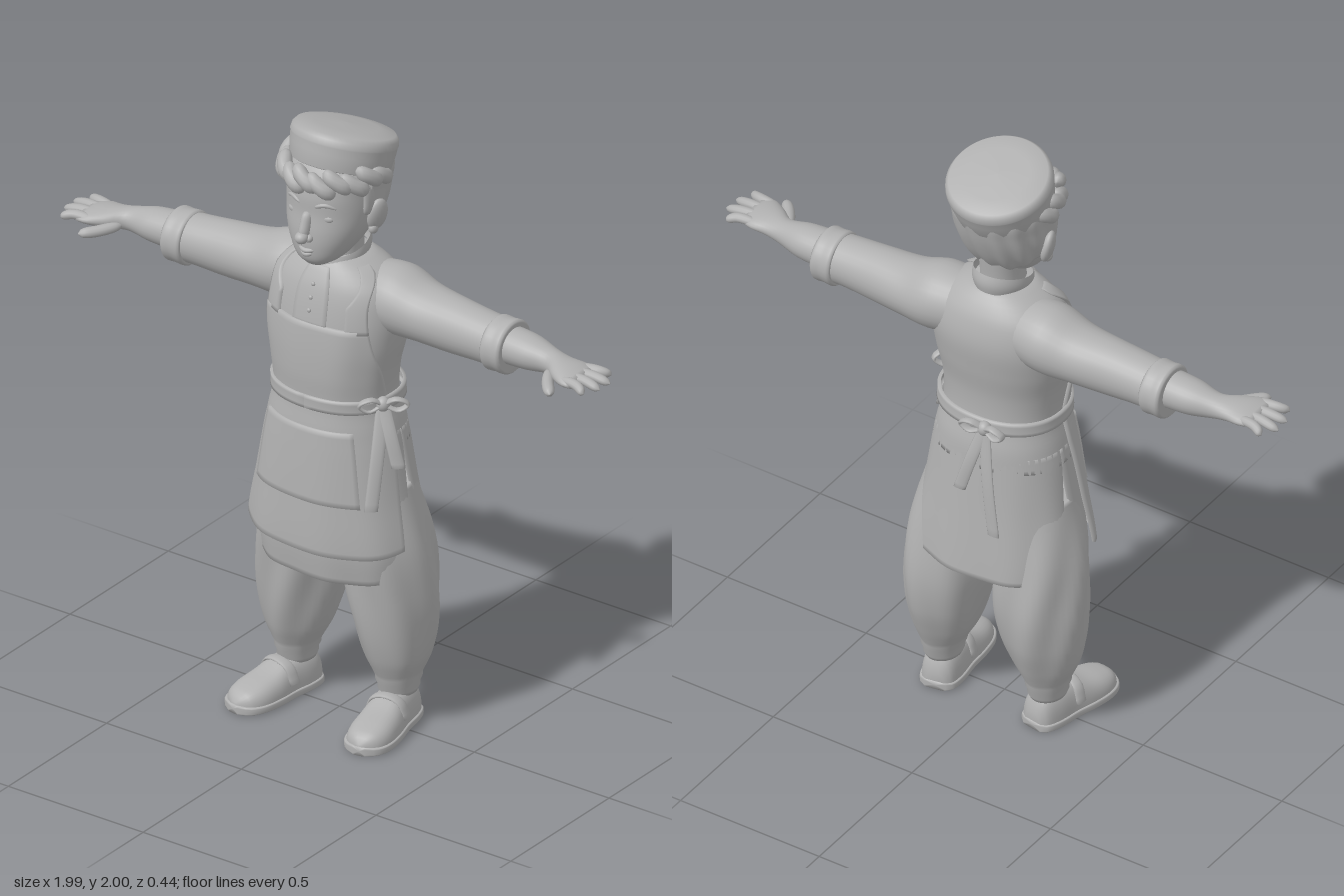
import * as THREE from 'three';

const clay = new THREE.MeshStandardMaterial({ color: 0xb0b0b0, side: THREE.DoubleSide });
clay.name = 'plainGrey';
const RAD = Math.PI / 180;
const V = (x, y, z) => new THREE.Vector3(x, y, z);
const spow = (t, p) => Math.sign(t) * Math.abs(t) ** p;

// Smooth lookup in a table of [key, values...] rows sorted by rising key
function at(rows, k) {
  let i = 0;
  while (i < rows.length - 2 && k > rows[i + 1][0]) i++;
  const a = rows[i], b = rows[i + 1], h = b[0] - a[0];
  const t = THREE.MathUtils.clamp((k - a[0]) / h, 0, 1);
  const p = rows[Math.max(i - 1, 0)], n = rows[Math.min(i + 2, rows.length - 1)];
  return a.slice(1).map((va, j) => {
    const c = j + 1, m0 = (b[c] - p[c]) / (b[0] - p[0]) * h, m1 = (n[c] - a[c]) / (n[0] - a[0]) * h;
    const t2 = t * t, t3 = t2 * t;
    return (2 * t3 - 3 * t2 + 1) * va + (t3 - 2 * t2 + t) * m0 + (3 * t2 - 2 * t3) * b[c] + (t3 - t2) * m1;
  });
}

// Grid surface from fn(u, v); closed wraps v and caps both ends
function surface(fn, nu, nv, closed) {
  const pos = [], idx = [], cols = closed ? nv : nv + 1, rings = [];
  for (let i = 0; i <= nu; i++) {
    const ring = [];
    for (let j = 0; j < cols; j++) ring.push(fn(i / nu, j / nv));
    rings.push(ring);
  }
  if (closed) {
    const cap = ring => {
      const c = V(0, 0, 0);
      ring.forEach(q => c.addScaledVector(q, 1 / ring.length));
      return ring.map(() => c);
    };
    rings.unshift(cap(rings[0]));
    rings.push(cap(rings[nu + 1]));
  }
  rings.flat().forEach(q => pos.push(q.x, q.y, q.z));
  for (let i = 0; i < rings.length - 1; i++) for (let j = 0; j < nv; j++) {
    const k = (j + 1) % cols, a = i * cols + j, d = i * cols + k, b = a + cols, c = d + cols;
    idx.push(a, b, d, b, c, d);
  }
  const g = new THREE.BufferGeometry();
  g.setAttribute('position', new THREE.Float32BufferAttribute(pos, 3));
  g.setIndex(idx);
  g.computeVertexNormals();
  return g;
}

function add(parent, name, geo) {
  const m = new THREE.Mesh(geo, clay);
  m.name = name;
  parent.add(m);
  return m;
}

// Point on a body table [y, halfWidth, zFront, zBack]; angle 0 is the front
function ring(rows, y, a, off = 0) {
  const [w, f, b] = at(rows, y);
  return V((w + off) * spow(Math.sin(a), 0.9), y, (f + b) / 2 + ((f - b) / 2 + off) * spow(Math.cos(a), 0.9));
}
const stack = (rows, nu = 40, nv = 48) => surface((u, v) =>
  ring(rows, THREE.MathUtils.lerp(rows[rows.length - 1][0], rows[0][0], u), v * 2 * Math.PI), nu, nv, true);

// Cloth lying on a body table, with its rim turned in to meet the body
function cloth(rows, top, bottom, edge, off, nu = 30, nv = 40) {
  return surface((u, v) => {
    const rim = u === 0 || u === 1 || v === 0 || v === 1;
    const vv = THREE.MathUtils.clamp((v - 1 / nv) / (1 - 2 / nv), 0, 1);
    const uu = THREE.MathUtils.clamp((u - 1 / nu) / (1 - 2 / nu), 0, 1);
    const y = THREE.MathUtils.lerp(top, typeof bottom === 'number' ? bottom : bottom(vv), uu);
    const [a0, a1] = edge(y), a = THREE.MathUtils.lerp(a0, a1, vv) * RAD;
    const o = off(y, a);
    return ring(rows, y, a, rim ? o - 0.01 : o);
  }, nu, nv, false);
}

// Limb along x from [x, y, z, ry, rz]
const limb = (rows, nu = 24) => surface((u, v) => {
  const x = THREE.MathUtils.lerp(rows[0][0], rows[rows.length - 1][0], u), a = v * 2 * Math.PI;
  const [y, z, ry, rz] = at(rows, x);
  return V(x, y + ry * Math.cos(a), z - rz * Math.sin(a));
}, nu, 28, true);

// Flat or round strand along a path
function strand(pts, wide, thick, round = true) {
  const curve = new THREE.CatmullRomCurve3(pts);
  return surface((u, v) => {
    const a = v * 2 * Math.PI, k = round ? Math.sqrt(Math.max(1 - Math.abs(2 * u - 1) ** 4, 0.02)) : 1;
    const n = curve.getTangent(u).cross(wide).setLength(thick);
    return curve.getPoint(u).addScaledVector(wide, k * Math.sin(a)).addScaledVector(n, k * Math.cos(a));
  }, 14, 12, true);
}

function ball(parent, name, p, s, rot = 0) {
  const m = add(parent, name, new THREE.SphereGeometry(1, 20, 14));
  m.position.set(...p);
  m.scale.set(...s);
  m.rotation.z = rot;
  return m;
}

const TORSO = [[0.95, .222, .174, -.175], [1.02, .208, .17, -.168], [1.1, .19, .16, -.15], [1.2, .198, .165, -.148],
  [1.3, .218, .162, -.163], [1.4, .225, .15, -.172], [1.48, .205, .13, -.155], [1.53, .15, .105, -.125], [1.565, .08, .08, -.09]];
const SKIRT = [[.5, .272, .165, -.222], [.62, .275, .178, -.21], [.8, .245, .178, -.19], [.95, .222, .174, -.175], [1, .212, .17, -.17]];
const DRESS = [...SKIRT.slice(0, 4), ...TORSO.slice(1)];
const HEAD = [[1.563, .035, .145, .07], [1.585, .07, .165, .01], [1.63, .103, .174, -.05], [1.68, .126, .174, -.09],
  [1.74, .139, .167, -.12], [1.8, .142, .165, -.14], [1.86, .142, .15, -.15], [1.92, .11, .11, -.13]];
const NECK = [[1.48, .078, .075, -.085], [1.57, .066, .066, -.08], [1.68, .066, .06, -.09]];
const LEG = [[.1, .188, -.045, .055, .065], [.135, .188, -.045, .062, .076], [.165, .187, -.045, .07, .083], [.23, .183, -.045, .1, .108],
  [.33, .175, -.048, .125, .135], [.46, .163, -.045, .142, .15], [.62, .15, -.03, .142, .148], [.82, .12, -.01, .12, .13]];

function buildClothes(g) {
  add(g, 'tunicTorso', stack(TORSO));
  // Skirt panels with open side slits
  const fold = (y, a) => .007 * Math.sin(a * 9) * (1 - y);
  const slit = y => Math.max(0, .95 - y) * 30;
  add(g, 'tunicFrontPanel', cloth(SKIRT, 1, v => .515 + .05 * Math.abs(2 * v - 1) ** 4, y => [-95 + slit(y), 95 - slit(y)], fold));
  add(g, 'tunicBackPanel', cloth(SKIRT, 1, v => .565 + .015 * Math.abs(2 * v - 1) ** 2, y => [95 + slit(y) * .9, 265 - slit(y) * .9], fold));
  // Apron with bib, neck straps and pocket
  const flare = (y, a) => .011 + Math.max(0, 1 - y) * .04 + fold(y, a) * .8;
  const EDGE = [[.6, 72], [.9, 80], [1.1, 84], [1.2, 76], [1.3, 58], [1.4, 49], [1.48, 54], [1.54, 78]];
  const side = y => at(EDGE, y)[0];
  add(g, 'apron', cloth(DRESS, 1.37, v => .618 + .02 * Math.abs(2 * v - 1) ** 3, y => [-side(y), side(y)], flare, 44, 48));
  for (const s of [-1, 1]) {
    const inner = y => 29 + Math.max(0, y - 1.44) * 260;
    add(g, 'apronStrap', cloth(DRESS, 1.545, 1.36, y => s > 0 ? [inner(y), side(y)] : [-side(y), -inner(y)], () => .011, 16, 10));
  }
  add(g, 'apronPocket', cloth(DRESS, 1.03, .79, () => [-46, 42], (y, a) => flare(y, a) + .007, 16, 24));
  add(g, 'placket', cloth(DRESS, 1.54, 1.36, () => [-13, 13], () => .006, 14, 10));
  for (let i = 0; i < 3; i++) {
    const p = ring(DRESS, 1.41 + i * .04, 0, .008);
    ball(g, 'button', p.toArray(), [.007, .007, .005]);
  }
  // Standing collar, lower at the front
  add(g, 'collar', surface((u, v) => {
    const a = (8 + 344 * v) * RAD, c = Math.cos(a), r = .088 - .008 * u + .006 * Math.sin(Math.PI * u);
    return V(r * Math.sin(a), 1.592 - .062 * u - .028 * c, -.006 + (r + .012 * u + .008) * c);
  }, 8, 40, false));
  // Waist tie
  add(g, 'waistTie', cloth(TORSO, 1.132, 1.09, () => [0, 360], () => .02, 6, 64));
}

function buildBow(g, name, p, wide, out, tails) {
  const bow = new THREE.Group();
  bow.name = name;
  g.add(bow);
  ball(bow, 'bowKnot', p.toArray(), [.022, .024, .022]);
  for (const s of [-1, 1]) {
    const loop = [[0, 0, 0], [.04, .025, .02], [.075, .005, .015], [.045, -.018, .01], [0, 0, 0]].map(q =>
      p.clone().addScaledVector(wide, s * q[0]).addScaledVector(out, q[2]).add(V(0, q[1], 0)));
    add(bow, 'bowLoop', strand(loop, out.clone().multiplyScalar(.014), .006, false));
  }
  tails.forEach(end => {
    const mid = p.clone().lerp(end, .5).addScaledVector(out, .008);
    add(bow, 'bowTail', strand([p, mid, end], wide.clone().multiplyScalar(.021), .006, false));
  });
}

function buildHead(g) {
  add(g, 'neck', stack(NECK, 12, 32));
  add(g, 'head', stack(HEAD, 44, 56));
  add(g, 'noseBridge', strand([V(0, 1.75, .158), V(0, 1.71, .172), V(0, 1.665, .19)], V(.017, 0, 0), .02));
  ball(g, 'noseTip', [0, 1.672, .193], [.021, .019, .022]);
  add(g, 'upperLip', strand([V(-.045, 1.632, .149), V(0, 1.622, .175), V(.045, 1.632, .149)], V(0, .008, 0), .008));
  add(g, 'lowerLip', strand([V(-.03, 1.618, .152), V(0, 1.609, .173), V(.03, 1.618, .152)], V(0, .008, 0), .008));
  for (const s of [-1, 1]) {
    ball(g, 'nostril', [s * .017, 1.668, .178], [.012, .012, .014]);
    ball(g, 'eye', [s * .055, 1.735, .142], [.028, .016, .016]);
    add(g, 'eyebrow', strand([V(s * .025, 1.772, .162), V(s * .058, 1.782, .152), V(s * .092, 1.77, .13)], V(0, .008, 0), .009));
    const ear = ball(g, 'ear', [s * .149, 1.722, .012], [.02, .056, .036], -s * .2);
    ear.rotation.y = -s * .3;
    ball(g, 'earLobe', [s * .142, 1.677, .022], [.014, .018, .018]);
    add(g, 'sideburn', strand([V(s * .14, 1.84, .05), V(s * .143, 1.78, .045), V(s * .137, 1.73, .045)], V(0, 0, .024), .012));
  }
  // Back hair, longest at the nape
  add(g, 'backHair', cloth(HEAD, 1.88, v => 1.775 - .135 * Math.sin(Math.PI * v) ** .6, () => [78, 282],
    (y, a) => .012 + .004 * Math.sin(a * 14 + y * 12), 24, 60));
  // Curls along the front hairline
  for (let i = 0; i < 11; i++) {
    const a = (-95 + i * 19) * RAD, up = i % 2 ? .016 : 0;
    const c = V(.138 * Math.sin(a), 1.85 + up, .012 + .15 * Math.cos(a));
    const d = V(Math.cos(a), 0, -Math.sin(a)), o = V(Math.sin(a), 0, Math.cos(a));
    const path = [[-.042, .022, 0], [-.012, .008, .016], [.02, -.012, .018], [.042, -.018, -.002]].map(q =>
      c.clone().addScaledVector(d, q[0]).addScaledVector(o, q[2]).add(V(0, q[1], 0)));
    add(g, 'hairCurl', strand(path, V(0, .028, 0), .024));
  }
  // Round cap tilted backwards
  const pts = [[0, 0], [.148, 0], [.156, .004], [.162, .05], [.164, .075], [.166, .08], [.163, .098], [.152, .111], [.1, .12], [0, .124]];
  const cap = add(g, 'cap', new THREE.LatheGeometry(pts.map(p => new THREE.Vector2(...p)), 56));
  cap.position.set(0, 1.847, -.002);
  cap.rotation.x = -.3;
}

function buildArm(g) {
  add(g, 'sleeve', limb([[.08, 1.435, -.035, .095, .1], [.2, 1.43, -.04, .108, .115], [.3, 1.415, -.038, .092, .1],
    [.42, 1.408, -.033, .087, .086], [.52, 1.405, -.03, .08, .08], [.58, 1.402, -.03, .078, .078]]));
  add(g, 'cuff', limb([[.557, 1.4, -.03, .08, .082], [.565, 1.4, -.03, .087, .088], [.595, 1.4, -.03, .085, .087],
    [.622, 1.4, -.03, .086, .088], [.63, 1.4, -.03, .078, .08]], 20));
  add(g, 'forearmAndPalm', limb([[.6, 1.41, -.026, .06, .065], [.7, 1.408, -.024, .053, .06], [.78, 1.405, -.018, .038, .043],
    [.83, 1.405, .002, .032, .058], [.88, 1.406, .014, .025, .074], [.915, 1.404, .02, .018, .068]]));
  const tips = [[.965, -.058], [.995, -.012], [.993, .038], [.97, .088]];
  tips.forEach(([x, z], i) => add(g, 'finger', strand([V(.86, 1.408, -.035 + i * .034), V(.93, 1.41, z * .8 + .002), V(x, 1.399, z)], V(0, 0, -.0165), .015)));
  add(g, 'thumb', strand([V(.79, 1.395, .02), V(.835, 1.388, .085), V(.875, 1.385, .13)], V(.014, 0, -.012), .017));
}

function buildLeg(g) {
  // Baggy trouser leg gathered at the ankle
  add(g, 'trouserLeg', surface((u, v) => {
    const y = THREE.MathUtils.lerp(.82, .1, u), a = v * 2 * Math.PI, [cx, cz, rx, rz] = at(LEG, y);
    const f = 1 + .05 * Math.sin(6 * a + 9 * y) * Math.sin(Math.PI * u) + (y < .17 ? .03 * Math.sin(y * 180) : 0);
    return V(cx + rx * f * Math.sin(a), y, cz + rz * f * Math.cos(a));
  }, 48, 48, true));
  const shoe = new THREE.Group();
  shoe.name = 'shoe';
  shoe.position.set(.19, 0, -.03);
  shoe.rotation.y = .17;
  g.add(shoe);
  // Shoe sections along z: half width, height
  const UPPER = [[-.085, .03, .06], [-.07, .05, .105], [-.02, .062, .122], [.05, .064, .118], [.12, .072, .092], [.19, .07, .075], [.235, .048, .058], [.252, .015, .035]];
  const SOLE = UPPER.map(([z, w]) => [z * 1.02, w + .006, .028]);
  for (const [name, rows, base] of [['shoeUpper', UPPER, .015], ['shoeSole', SOLE, 0]]) {
    add(shoe, name, surface((u, v) => {
      const z = THREE.MathUtils.lerp(rows[0][0], rows[rows.length - 1][0], u), a = v * 2 * Math.PI, [w, h] = at(rows, z);
      const c = Math.cos(a), p = base ? .7 : .35;
      return V(w * spow(Math.sin(a), p), base + (h - base) * (base ? Math.max(spow(c, .8), 0) : (spow(c, p) + 1) / 2), z);
    }, 30, 32, true));
  }
  add(shoe, 'shoeStrap', strand([V(-.067, .05, .06), V(-.045, .1, .065), V(0, .116, .068), V(.045, .1, .065), V(.067, .05, .06)], V(0, 0, .02), .006, false));
}

export function createModel() {
  const model = new THREE.Group();
  model.name = 'apronedBoy';
  buildClothes(model);
  buildBow(model, 'sideBow', V(.205, 1.115, .06), V(.75, 0, -.66), V(.66, 0, .75), [V(.222, .79, .145), V(.27, .92, .07)]);
  buildBow(model, 'backBow', V(-.045, 1.11, -.175), V(-1, 0, 0), V(0, 0, -1), [V(-.1, .75, -.21), V(.03, .87, -.198)]);
  buildHead(model);
  for (const s of [1, -1]) {
    const half = new THREE.Group();
    half.name = s > 0 ? 'leftLimbs' : 'rightLimbs';
    half.scale.x = s;
    buildArm(half);
    buildLeg(half);
    model.add(half);
  }
  return model;
}
